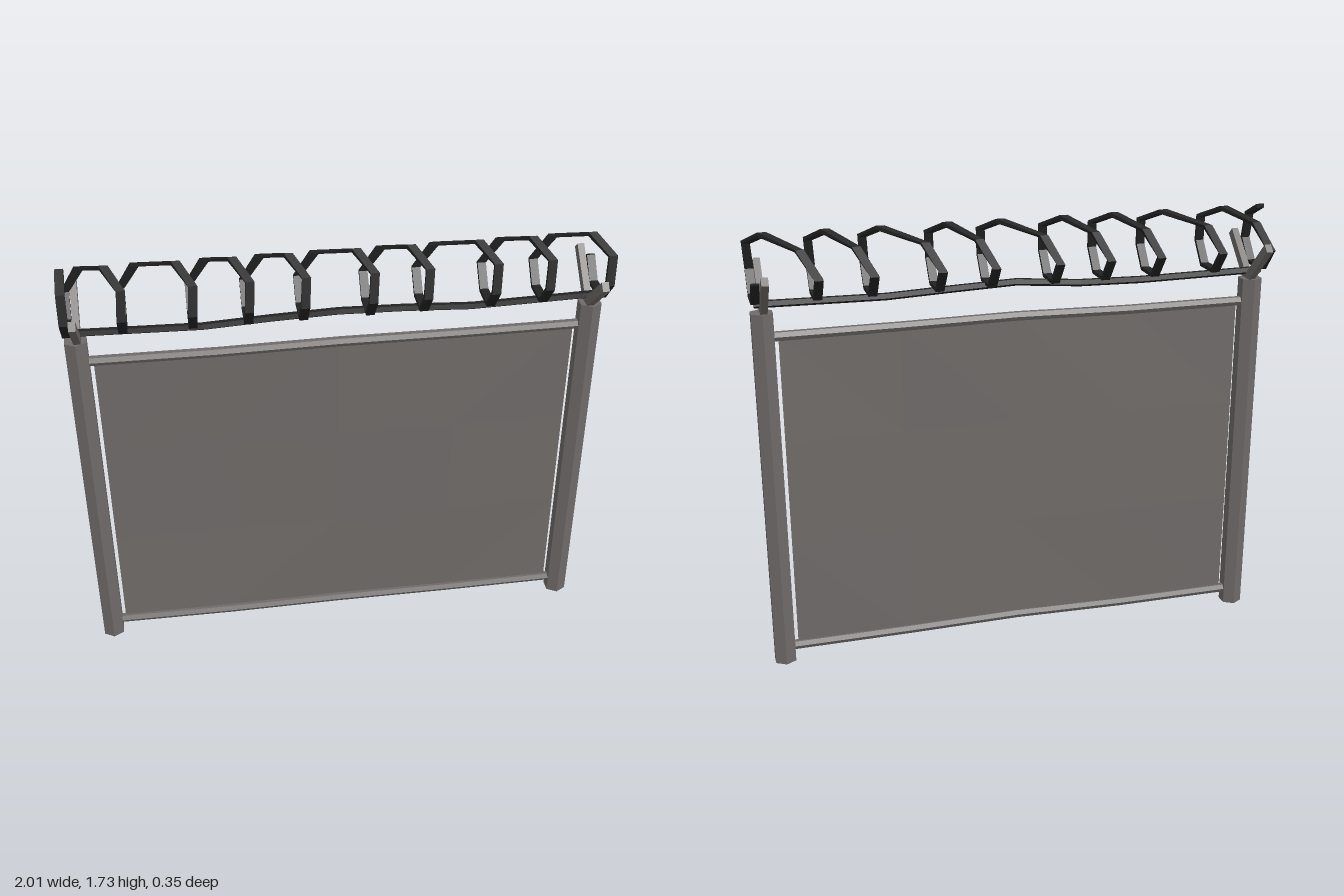
import * as THREE from 'three';

const mat = (name, color, side = THREE.FrontSide) => {
  const m = new THREE.MeshStandardMaterial({ color, side });
  m.name = name;
  m.flatShading = true;
  return m;
};

// Skin a list of equal rings, each counter-clockwise about the path, and cap the ends.
function loft(rings) {
  const pos = [], n = rings[0].length, last = rings[rings.length - 1];
  const tri = (...pts) => pts.forEach((p) => pos.push(p.x, p.y, p.z));
  for (let i = 0; i < rings.length - 1; i++) {
    for (let j = 0; j < n; j++) {
      const k = (j + 1) % n, a = rings[i], b = rings[i + 1];
      tri(a[j], a[k], b[j]);
      tri(a[k], b[k], b[j]);
    }
  }
  for (let j = 1; j < n - 1; j++) {
    tri(rings[0][0], rings[0][j + 1], rings[0][j]);
    tri(last[0], last[j], last[j + 1]);
  }
  const g = new THREE.BufferGeometry();
  g.setAttribute('position', new THREE.Float32BufferAttribute(pos, 3));
  g.computeVertexNormals();
  return g;
}

// Slightly bent rod running along x.
function rod(points, radius, sides) {
  return loft(points.map(([x, y, z]) => Array.from({ length: sides }, (_, j) => {
    const a = ((j + 0.5) / sides) * Math.PI * 2;
    return new THREE.Vector3(x, y + Math.cos(a) * radius, z + Math.sin(a) * radius);
  })));
}

// Flat seven-sided coil whose turns sit at uneven places along x.
function coil(turns) {
  const cy = 1.597, R = 0.122, path = [];
  // corner k: 0 is the top, then front, bottom and back
  const corner = (k, x) => path.push([x, (k / 7) * Math.PI * 2]);
  turns.forEach((x, i) => {
    const first = i === 0, end = i === turns.length - 1;
    corner(0, first ? x : x - 0.045);
    corner(1, first ? x : x + 0.008);
    corner(2, x);
    corner(3, x);
    corner(4, x);
    corner(5, x);
    if (!end) corner(6, x + 0.06);
  });
  const section = [[1, 1], [-1, 1], [-1, -1], [1, -1]];
  return loft(path.map(([x, a]) => section.map(([u, v]) => {
    const r = R + v * 0.008;
    return new THREE.Vector3(x + u * 0.016, cy + Math.cos(a) * r, Math.sin(a) * r);
  })));
}

export function createModel() {
  const model = new THREE.Group();
  model.name = 'fencePanel';
  const steel = mat('steel', 0x6e6a69);
  const sheet = mat('sheet', 0x6e6a68, THREE.DoubleSide);
  const wire = mat('wire', 0x222222);
  const add = (name, geo, material, parent = model) => {
    const m = new THREE.Mesh(geo, material);
    m.name = name;
    parent.add(m);
    return m;
  };

  // Hexagonal posts with a pair of forked arms on each
  for (const s of [1, -1]) {
    const side = s > 0 ? 'left' : 'right';
    add(side + 'Post', new THREE.CylinderGeometry(0.046, 0.046, 1.435, 6), steel)
      .position.set(s * 0.96, 1.435 / 2, 0);
    for (const f of [1, -1]) {
      const arm = add(side + (f > 0 ? 'FrontArm' : 'BackArm'),
        new THREE.BoxGeometry(0.026, 0.225, 0.036), steel);
      arm.position.set(s * 0.953, 1.51, f * 0.084);
      arm.rotation.x = f * 0.8;
    }
  }

  // Sheet with a gentle buckle
  const panel = new THREE.PlaneGeometry(1.81, 1.29, 4, 3);
  const p = panel.attributes.position;
  for (let i = 0; i < p.count; i++) {
    const x = p.getX(i), y = p.getY(i);
    p.setZ(i, 0.008 * Math.sin(x * 3.5 + 0.5) * Math.cos(y * 2.2));
  }
  panel.computeVertexNormals();
  add('panel', panel, sheet).position.y = 0.705;

  // Top and bottom rails
  for (const [name, y] of [['topRail', 1.342], ['bottomRail', 0.061]]) {
    add(name, rod([[-0.925, y, 0], [-0.45, y - 0.002, 0.003], [0, y + 0.005, 0.006],
      [0.45, y, 0.003], [0.925, y - 0.001, 0]], 0.019, 6), steel);
  }

  // Bent carrier wire and the coil above it
  add('carrierWire', rod([[-1, 1.465, 0], [-0.5, 1.456, 0.006], [-0.25, 1.463, -0.004],
    [0, 1.48, 0.01], [0.25, 1.471, 0.006], [0.5, 1.459, 0.008], [0.985, 1.466, 0]], 0.015, 5), wire);
  add('coil', coil([-0.984, -0.785, -0.535, -0.335, -0.135, 0.11, 0.31, 0.56, 0.76, 0.984]), wire);
  return model;
}
